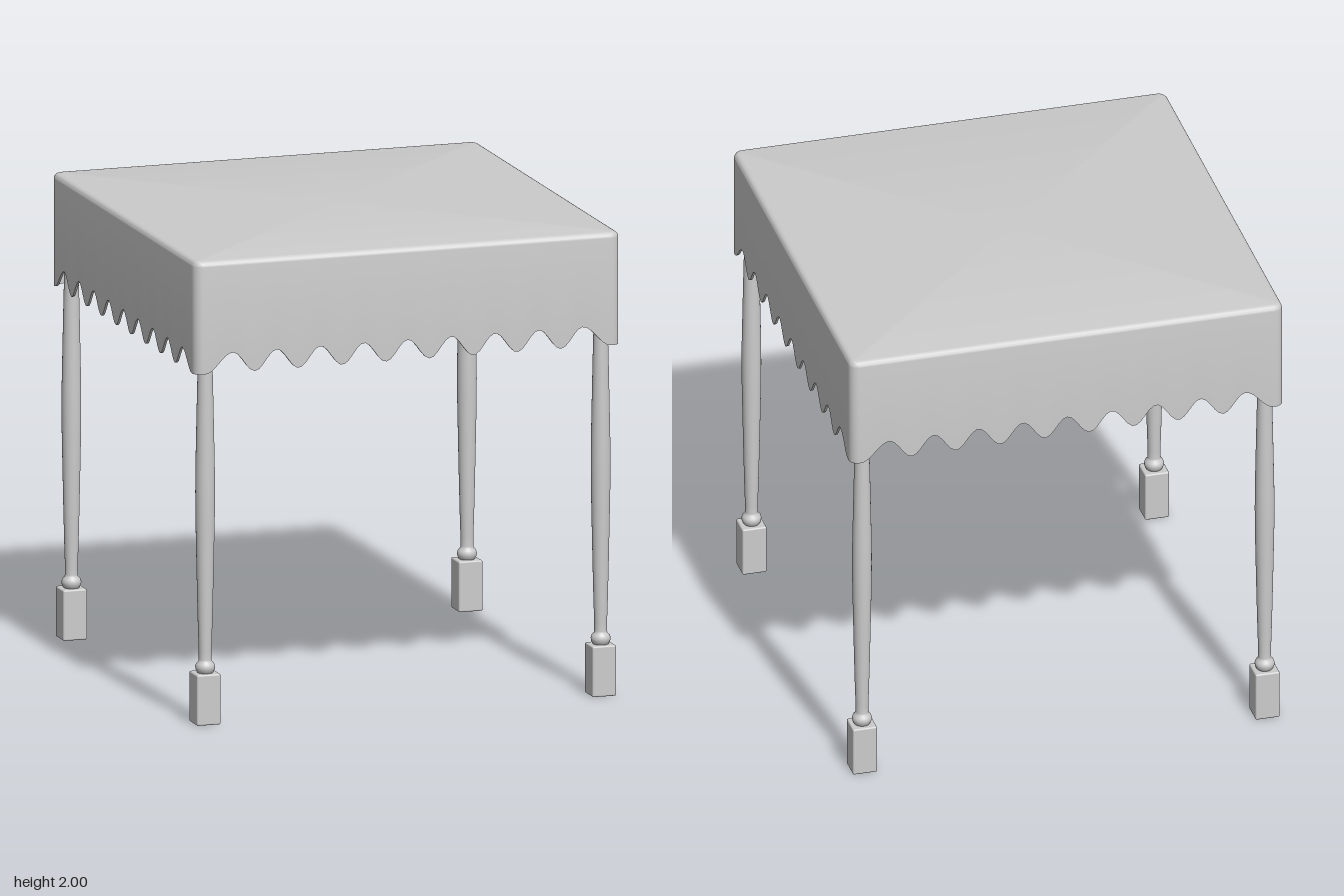
import * as THREE from 'three';
import { toCreasedNormals } from 'three/addons/utils/BufferGeometryUtils.js';
import { RoundedBoxGeometry } from 'three/addons/geometries/RoundedBoxGeometry.js';

const HALF = 0.945, CORNER = 0.04, TOP = 2, POST = 0.878;
const PITCH = 0.194, HIGH = 1.602, LOW = 1.515;

// Height of the scalloped hem at distance u from the middle of a side
function hem(u) {
  const a = Math.abs(u), lastHigh = 4 * PITCH;
  const phase = a < lastHigh
    ? (a / PITCH) * 2 * Math.PI
    : Math.min((a - lastHigh) / 0.125, 1) * Math.PI;
  return (HIGH + LOW) / 2 + ((HIGH - LOW) / 2) * Math.cos(phase);
}

// Rounded-square outline: corner-arc centre, outward direction and hem height
function outline() {
  const pts = [], s = HALF - CORNER, n = 96, arc = 6;
  for (let side = 0; side < 4; side++) {
    const turn = (side * Math.PI) / 2, c = Math.cos(turn), d = Math.sin(turn);
    const add = (u, ang) => {
      const nx = Math.sin(ang), nz = Math.cos(ang);
      pts.push({
        x: u * c + s * d, z: -u * d + s * c,
        nx: nx * c + nz * d, nz: -nx * d + nz * c, hem: hem(u),
      });
    };
    for (let i = 0; i <= n; i++) add(-s + (2 * s * i) / n, 0);
    for (let i = 1; i < arc; i++) add(s, ((i / arc) * Math.PI) / 2);
  }
  return pts;
}

// Cloth cover: outer skin, hem edge and inner skin swept round the outline
function coverGeometry() {
  const loop = outline(), cols = loop.length, round = 0.025, thick = 0.01;
  const rows = [{ centre: true, y: TOP }];
  for (let i = 0; i <= 5; i++) {
    const a = ((i / 5) * Math.PI) / 2;
    rows.push({ inset: round * (1 - Math.sin(a)), y: TOP - round * (1 - Math.cos(a)) });
  }
  rows.push({ inset: 0 }, { inset: thick });
  rows.push({ inset: thick, y: TOP - 0.02 }, { centre: true, y: TOP - 0.02 });

  const pos = [], idx = [];
  for (const row of rows) {
    for (const p of loop) {
      const r = CORNER - row.inset;
      if (row.centre) pos.push(0, row.y, 0);
      else pos.push(p.x + p.nx * r, row.y ?? p.hem, p.z + p.nz * r);
    }
  }
  for (let j = 0; j < rows.length - 1; j++) {
    for (let i = 0; i < cols; i++) {
      const k = (i + 1) % cols;
      const a = j * cols + i, b = j * cols + k, c = a + cols, d = b + cols;
      if (!rows[j + 1].centre) idx.push(a, c, d);
      else idx.push(a, c, b);
      if (!rows[j].centre && !rows[j + 1].centre) idx.push(a, d, b);
    }
  }
  const g = new THREE.BufferGeometry();
  g.setAttribute('position', new THREE.Float32BufferAttribute(pos, 3));
  g.setIndex(idx);
  return toCreasedNormals(g, 0.6);
}

// Turned post between the two square blocks, the same at both ends
function shaftGeometry() {
  const mid = 0.995;
  const half = [
    [0.028, 0.212], [0.036, 0.222], [0.041, 0.234], [0.042, 0.245],
    [0.038, 0.257], [0.029, 0.266], [0.027, 0.275], [0.027, 0.31],
    [0.03, 0.4], [0.034, 0.56], [0.038, 0.75], [0.041, 0.9],
  ].map(([r, y]) => new THREE.Vector2(r, y));
  const mirrored = half.map((p) => new THREE.Vector2(p.x, 2 * mid - p.y)).reverse();
  return new THREE.LatheGeometry([...half, new THREE.Vector2(0.0415, mid), ...mirrored], 32);
}

export function createModel() {
  const model = new THREE.Group();
  model.name = 'coveredTable';
  const material = new THREE.MeshStandardMaterial({ color: 0xcccccc });
  const cloth = material.clone();
  cloth.side = THREE.DoubleSide;

  const add = (parent, name, geometry, x, y, z, mat = material) => {
    const mesh = new THREE.Mesh(geometry, mat);
    mesh.name = name;
    mesh.position.set(x, y, z);
    parent.add(mesh);
    return mesh;
  };

  add(model, 'scallopedCover', coverGeometry(), 0, 0, 0, cloth);

  // Four legs, each a foot block, turned shaft and top block
  const foot = new RoundedBoxGeometry(0.106, 0.218, 0.106, 2, 0.007);
  const head = new RoundedBoxGeometry(0.1, 0.205, 0.1, 2, 0.007);
  const shaft = shaftGeometry();
  for (const sx of [-1, 1]) {
    for (const sz of [-1, 1]) {
      const leg = new THREE.Group();
      leg.name = `${sz > 0 ? 'front' : 'back'}${sx > 0 ? 'Left' : 'Right'}Leg`;
      leg.position.set(sx * POST, 0, sz * POST);
      add(leg, 'footBlock', foot, 0, 0.109, 0);
      add(leg, 'turnedShaft', shaft, 0, 0, 0);
      add(leg, 'topBlock', head, 0, 1.8725, 0);
      model.add(leg);
    }
  }

  // Rails joining the top blocks
  const rail = new THREE.BoxGeometry(2 * POST - 0.09, 0.1, 0.08);
  for (const s of [-1, 1]) {
    add(model, s > 0 ? 'frontRail' : 'backRail', rail, 0, 1.925, s * POST);
    add(model, s > 0 ? 'leftRail' : 'rightRail', rail, s * POST, 1.925, 0).rotation.y = Math.PI / 2;
  }
  return model;
}
